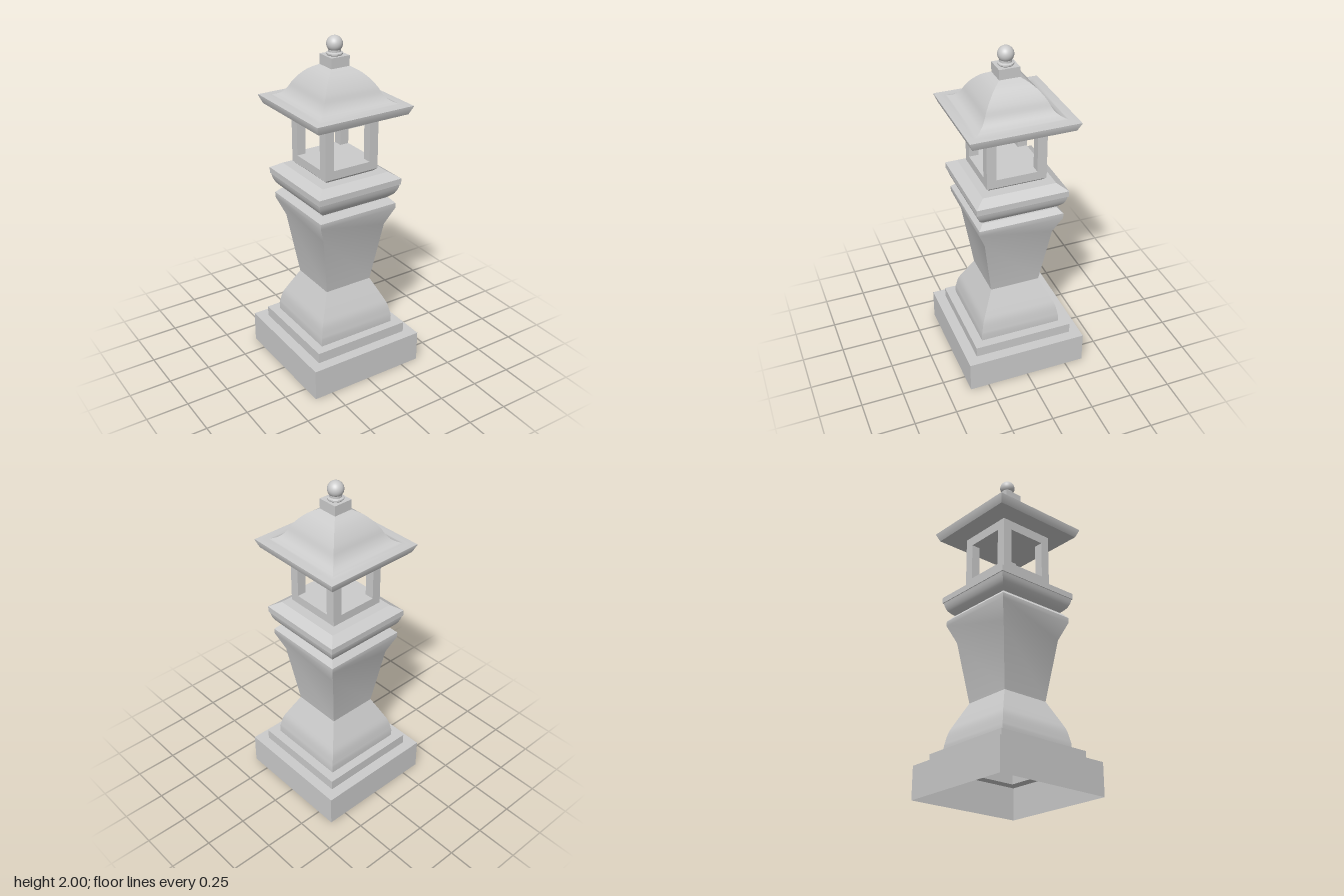
import * as THREE from 'three';
import { toCreasedNormals } from 'three/addons/utils/BufferGeometryUtils.js';

const material = new THREE.MeshStandardMaterial({ color: 0xcccccc, side: THREE.DoubleSide });

function add(parent, name, geometry, x = 0, y = 0, z = 0) {
  const mesh = new THREE.Mesh(geometry, material);
  mesh.name = name;
  mesh.position.set(x, y, z);
  parent.add(mesh);
  return mesh;
}

// Square-plan shell swept from a profile of [half width, height], bottom to top.
function squareShell(profile) {
  const points = profile.map(([r, y]) => new THREE.Vector2(r * Math.SQRT2, y));
  return toCreasedNormals(new THREE.LatheGeometry(points, 4, Math.PI / 4), 0.4);
}

// Smooth run of profile points through a few guides.
function curve(guides, steps) {
  const spline = new THREE.SplineCurve(guides.map(([r, y]) => new THREE.Vector2(r, y)));
  return spline.getPoints(steps).map((p) => [p.x, p.y]);
}

export function createModel() {
  const model = new THREE.Group();
  model.name = 'stoneLantern';

  // Stepped base, hollow and open underneath
  add(model, 'base', squareShell([
    [0.363, 0], [0.363, 0.19], [0.3, 0.19], [0.3, 0.253], [0.246, 0.253],
  ]));

  // Flared foot and tapering shaft
  add(model, 'shaft', squareShell([
    [0.246, 0.253], [0.246, 0.295],
    ...curve([[0.243, 0.31], [0.23, 0.37], [0.206, 0.425], [0.15, 0.54]], 10),
    [0.205, 0.91], [0.25, 1.02], [0.25, 1.05], [0.222, 1.08], [0.21, 1.08],
  ]));

  // Moulded capital with a closed top
  add(model, 'capital', squareShell([
    [0.21, 1.08],
    ...curve([[0.215, 1.083], [0.243, 1.11], [0.258, 1.14], [0.265, 1.17]], 8),
    [0.27, 1.17], [0.27, 1.205], [0.215, 1.24], [0, 1.24],
  ]));

  // Lantern chamber: floor, four corner posts and ceiling
  const chamber = new THREE.Group();
  chamber.name = 'lanternChamber';
  chamber.scale.z = 1.02;
  model.add(chamber);
  add(chamber, 'chamberFloor', squareShell([
    [0, 1.238], [0.15, 1.238], [0.172, 1.258], [0.172, 1.308], [0, 1.308],
  ]));
  for (const x of [-1, 1]) {
    for (const z of [-1, 1]) {
      add(chamber, 'cornerPost', new THREE.BoxGeometry(0.055, 0.225, 0.055), x * 0.1445, 1.4205, z * 0.1445);
    }
  }
  add(chamber, 'chamberCeiling', new THREE.BoxGeometry(0.344, 0.06, 0.344), 0, 1.563, 0);

  // Bell-curved roof with a bevelled eave
  const roof = add(model, 'roof', squareShell([
    [0, 1.59], [0.286, 1.59], [0.305, 1.635], [0.305, 1.64], [0.3, 1.641], [0.27, 1.642],
    ...curve([[0.25, 1.645], [0.215, 1.66], [0.188, 1.69], [0.165, 1.735], [0.135, 1.777], [0.1, 1.812], [0.058, 1.838]], 22),
    [0, 1.838],
  ]));
  roof.scale.z = 1.02;

  // Finial: block, collar and ball
  add(model, 'finialBlock', new THREE.BoxGeometry(0.116, 0.06, 0.118), 0, 1.866, 0);
  const collar = [[0.04, 1.894], [0.045, 1.9], [0.045, 1.908], [0.034, 1.913], [0.034, 1.93]]
    .map(([r, y]) => new THREE.Vector2(r, y));
  add(model, 'finialCollar', toCreasedNormals(new THREE.LatheGeometry(collar, 32), 0.5));
  add(model, 'finialBall', new THREE.SphereGeometry(0.045, 32, 20), 0, 1.955, 0);

  return model;
}
